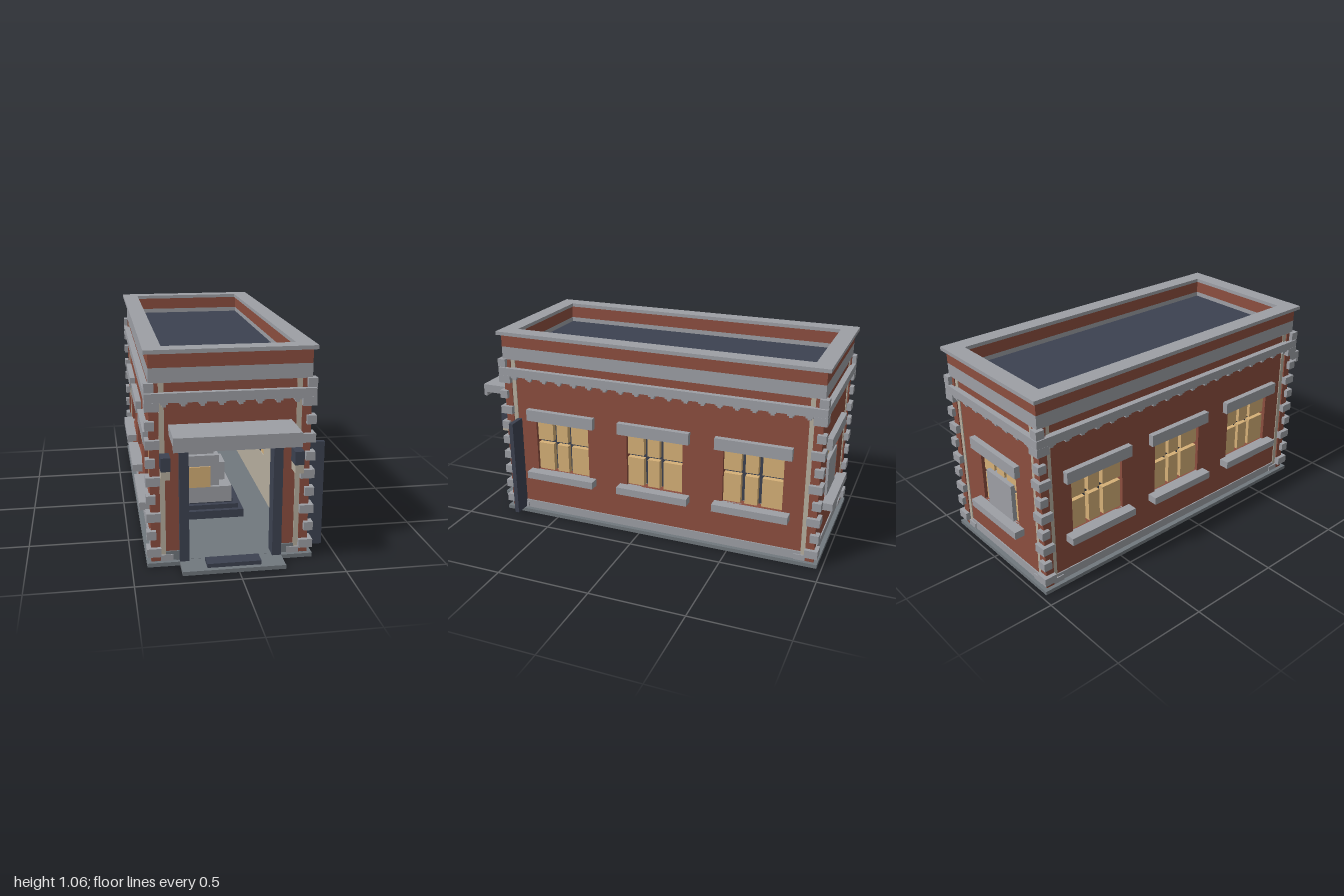
import * as THREE from 'three';

const mat = (name, color) => {
  const m = new THREE.MeshStandardMaterial({ color });
  m.name = name;
  return m;
};

export function createModel() {
  const brick = mat('brick', 0x8c4e3f);
  const stone = mat('stone trim', 0x9d9fa5);
  const floorGrey = mat('floor grey', 0x71787e);
  const dark = mat('dark slate', 0x3c4251);
  const beige = mat('beige plaster', 0xb7af9f);
  const glass = mat('warm glass', 0xd6b077);

  const model = new THREE.Group();
  model.name = 'building';

  // Box given by its minimum and maximum on each axis
  const box = (name, m, x0, x1, y0, y1, z0, z1, parent = model) => {
    const mesh = new THREE.Mesh(new THREE.BoxGeometry(x1 - x0, y1 - y0, z1 - z0), m);
    mesh.position.set((x0 + x1) / 2, (y0 + y1) / 2, (z0 + z1) / 2);
    mesh.name = name;
    parent.add(mesh);
    return mesh;
  };
  const rect = (T, x0, x1, y0, y1) => {
    const s = new T();
    s.moveTo(x0, y0);
    s.lineTo(x1, y0);
    s.lineTo(x1, y1);
    s.lineTo(x0, y1);
    s.closePath();
    return s;
  };
  // Upright sheet in the xy plane with rectangular holes
  const sheet = (name, m, outer, holes, depth) => {
    const s = rect(THREE.Shape, ...outer);
    holes.forEach(h => s.holes.push(rect(THREE.Path, ...h)));
    const mesh = new THREE.Mesh(new THREE.ExtrudeGeometry(s, { depth, bevelEnabled: false }), m);
    mesh.name = name;
    model.add(mesh);
    return mesh;
  };
  // Flat rectangular frame lying around the building
  const ring = (name, m, x0, x1, z0, z1, w, y0, y1) => {
    const mesh = sheet(name, m, [x0, x1, -z1, -z0], [[x0 + w, x1 - w, -z1 + w, -z0 - w]], y1 - y0);
    mesh.rotation.x = -Math.PI / 2;
    mesh.position.y = y0;
  };

  // Base rim around a recessed floor plate, and the front step
  ring('baseRim', floorGrey, -0.427, 0.38, -0.975, 0.82, 0.04, 0, 0.02);
  ring('rimLining', stone, -0.387, 0.34, -0.935, 0.78, 0.008, 0, 0.016);
  box('floor', floorGrey, -0.39, 0.345, 0.012, 0.021, -0.94, 0.8);
  box('frontStep', floorGrey, -0.27, 0.225, 0, 0.02, 0.82, 0.93);
  box('doorMat', dark, -0.15, 0.11, 0.02, 0.04, 0.83, 0.905);

  // Walls with a plaster lining inside
  const T = 0.045, L = 0.01, top = 0.9;
  const winZ = [0.463, -0.08, -0.617];
  const winHole = c => [c - 0.158, c + 0.158, 0.27, 0.567];
  const doorHole = [-0.25, 0.205, 0.021, 0.61];
  const sideHoles = winZ.map(winHole), backHoles = [winHole(-0.022)];
  const sides = [[0.35, 0.35 - T], [-0.395 + T, -0.395 + T + L]];
  for (const [wallX, lineX] of sides) {
    const w = sheet('sideWall', brick, [-0.945, 0.79, 0.02, top], sideHoles, T);
    w.rotation.y = -Math.PI / 2;
    w.position.x = wallX;
    const l = sheet('sideLining', beige, [-0.9, 0.745, 0.02, top], sideHoles, L);
    l.rotation.y = -Math.PI / 2;
    l.position.x = lineX;
  }
  sheet('frontWall', brick, [-0.35, 0.305, 0.02, top], [doorHole], T).position.z = 0.79 - T;
  sheet('frontLining', beige, [-0.35, 0.305, 0.02, top], [doorHole], L).position.z = 0.79 - T - L;
  sheet('backWall', brick, [-0.35, 0.305, 0.02, top], backHoles, T).position.z = -0.945;
  sheet('backLining', beige, [-0.35, 0.305, 0.02, top], backHoles, L).position.z = -0.945 + T;
  box('indoorSkirting', floorGrey, -0.34, 0.295, 0.021, 0.066, -0.89, -0.882);
  box('ceiling', beige, -0.35, 0.305, 0.86, 0.88, -0.9, 0.745);

  // Window: thick panes with deep slots, and bars set behind them
  const addWindow = parent => {
    const cols = [[-0.158, -0.066], [-0.044, 0.024], [0.046, 0.158]];
    const rows = [[0.27, 0.427], [0.446, 0.567]];
    for (const [a, b] of cols) for (const [c, d] of rows) box('pane', glass, a, b, c, d, -0.05, -0.018, parent);
    for (const x of [-0.055, 0.035]) box('windowBar', dark, x - 0.011, x + 0.011, 0.27, 0.567, -0.056, -0.048, parent);
    box('windowBar', dark, -0.158, 0.158, 0.427, 0.446, -0.056, -0.048, parent);
    box('lintel', stone, -0.2, 0.2, 0.567, 0.63, -0.01, 0.03, parent);
    box('sill', stone, -0.2, 0.2, 0.23, 0.27, -0.01, 0.055, parent);
  };
  const place = (name, x, z, turn) => {
    const g = new THREE.Group();
    g.name = name;
    g.position.set(x, 0, z);
    g.rotation.y = turn;
    model.add(g);
    return g;
  };
  for (const z of winZ) {
    addWindow(place('rightWindow', 0.35, z, Math.PI / 2));
    addWindow(place('leftWindow', -0.395, z, -Math.PI / 2));
  }
  addWindow(place('backWindow', -0.022, -0.945, Math.PI));
  box('windowUnit', stone, -0.135, 0.085, 0.25, 0.473, -0.95, -0.86);

  // Plaster strips, plinths and stepped dentils on each face
  const faces = [
    ['front', -0.0225, 0.79, 0, 0.3825], ['back', -0.0225, -0.945, Math.PI, 0.3825],
    ['right', 0.35, -0.0775, Math.PI / 2, 0.8775], ['left', -0.395, -0.0775, -Math.PI / 2, 0.8775],
  ];
  for (const [name, x, z, turn, half] of faces) {
    const g = place(name + 'Trim', x, z, turn);
    for (const s of [-1, 1]) {
      const c = s * (half - 0.058);
      box('plasterStrip', beige, c - 0.0125, c + 0.0125, 0.03, 0.9, -0.005, 0.004, g);
      const p = s * (half - 0.075);
      box('cornerPlinth', stone, p - 0.03, p + 0.03, 0.02, 0.05, 0, 0.012, g);
    }
    const e = half - 0.07;
    if (name === 'front') {
      for (const s of [-1, 1]) box('plinth', floorGrey, Math.min(s * e, s * 0.24), Math.max(s * e, s * 0.24), 0.02, 0.066, 0, 0.006, g);
    } else box('plinth', stone, -e, e, 0.02, 0.066, 0, 0.006, g);
    const n = Math.round(2 * e / 0.0885);
    for (let i = 0; i <= n; i++) {
      const d = -e + 2 * e * i / n;
      box('dentil', stone, d - 0.018, d + 0.018, 0.8, 0.812, 0, 0.025, g);
      box('dentilTip', stone, d - 0.009, d + 0.009, 0.788, 0.8, 0, 0.018, g);
    }
  }

  // Brick corner piers with alternating quoins
  for (const sx of [-1, 1]) for (const sz of [-1, 1]) {
    const corner = (name, m, inset, size, y0, y1) => {
      const x = -0.0235 + sx * (0.4035 - inset - size / 2);
      const z = -0.0775 + sz * (0.8975 - inset - size / 2);
      box(name, m, x - size / 2, x + size / 2, y0, y1, z - size / 2, z + size / 2);
    };
    corner('cornerPier', brick, 0.021, 0.045, 0.02, 0.9);
    for (let i = 0; i < 10; i++) corner('quoin', stone, 0, i % 2 ? 0.045 : 0.068, 0.05 + i * 0.09, 0.093 + i * 0.09);
  }

  // Cornice, parapet and roof
  ring('corniceBand', stone, -0.426, 0.379, -0.974, 0.819, 0.06, 0.81, 0.855);
  ring('stoneBand', stone, -0.405, 0.36, -0.955, 0.8, 0.06, 0.9, 0.97);
  ring('parapet', brick, -0.405, 0.36, -0.955, 0.8, 0.06, 0.97, 1.037);
  ring('parapetCap', stone, -0.427, 0.38, -0.975, 0.82, 0.088, 1.037, 1.056);
  box('roof', dark, -0.35, 0.305, 0.9, 0.945, -0.9, 0.745);

  // Entrance: frame, open door, canopy and wall lamps
  for (const x of [-0.27, 0.18]) box('doorPost', dark, x, x + 0.045, 0.02, 0.63, 0.74, 0.82);
  box('doorHead', dark, -0.27, 0.225, 0.587, 0.63, 0.74, 0.82);
  box('openDoor', dark, 0.225, 0.45, 0.025, 0.563, 0.71, 0.734);
  box('canopy', stone, -0.315, 0.267, 0.655, 0.7, 0.78, 1);
  box('canopyLip', stone, -0.315, 0.267, 0.633, 0.655, 0.982, 1);
  for (const x of [-0.36, 0.27]) {
    box('lampTop', dark, x, x + 0.045, 0.497, 0.563, 0.79, 0.867);
    box('lampGlass', beige, x + 0.002, x + 0.043, 0.455, 0.497, 0.79, 0.865);
  }

  // Indoor stepped display on a square dark base
  const cx = -0.05, cz = 0.16;
  [[0.18, 0, 0.065], [0.155, 0.065, 0.09], [0.13, 0.09, 0.112]].forEach(([r, y0, y1]) =>
    box('displayBase', dark, cx - r, cx + r, y0, y1, cz - r, cz + r));
  [[-0.225, 0.065, 0.112, 0.2, 0.17], [-0.225, 0, 0.2, 0.37, 0.15], [-0.2, -0.025, 0.37, 0.41, 0.12], [-0.17, -0.055, 0.41, 0.45, 0.09]]
    .forEach(([x0, x1, y0, y1, d]) => box('displayStep', stone, x0, x1, y0, y1, cz - d, cz + d));
  box('displayPanel', glass, -0.182, -0.048, 0.2, 0.315, cz + 0.165, cz + 0.173);
  box('displayShoulder', stone, 0, 0.045, 0.2, 0.3, cz - 0.07, cz + 0.07);

  // Indoor round pedestal
  const pedestal = new THREE.Mesh(new THREE.CylinderGeometry(0.11, 0.11, 0.25, 8), dark);
  pedestal.geometry.rotateY(Math.PI / 8);
  pedestal.position.set(-0.025, 0.125, -0.38);
  pedestal.name = 'pedestal';
  model.add(pedestal);

  return model;
}
